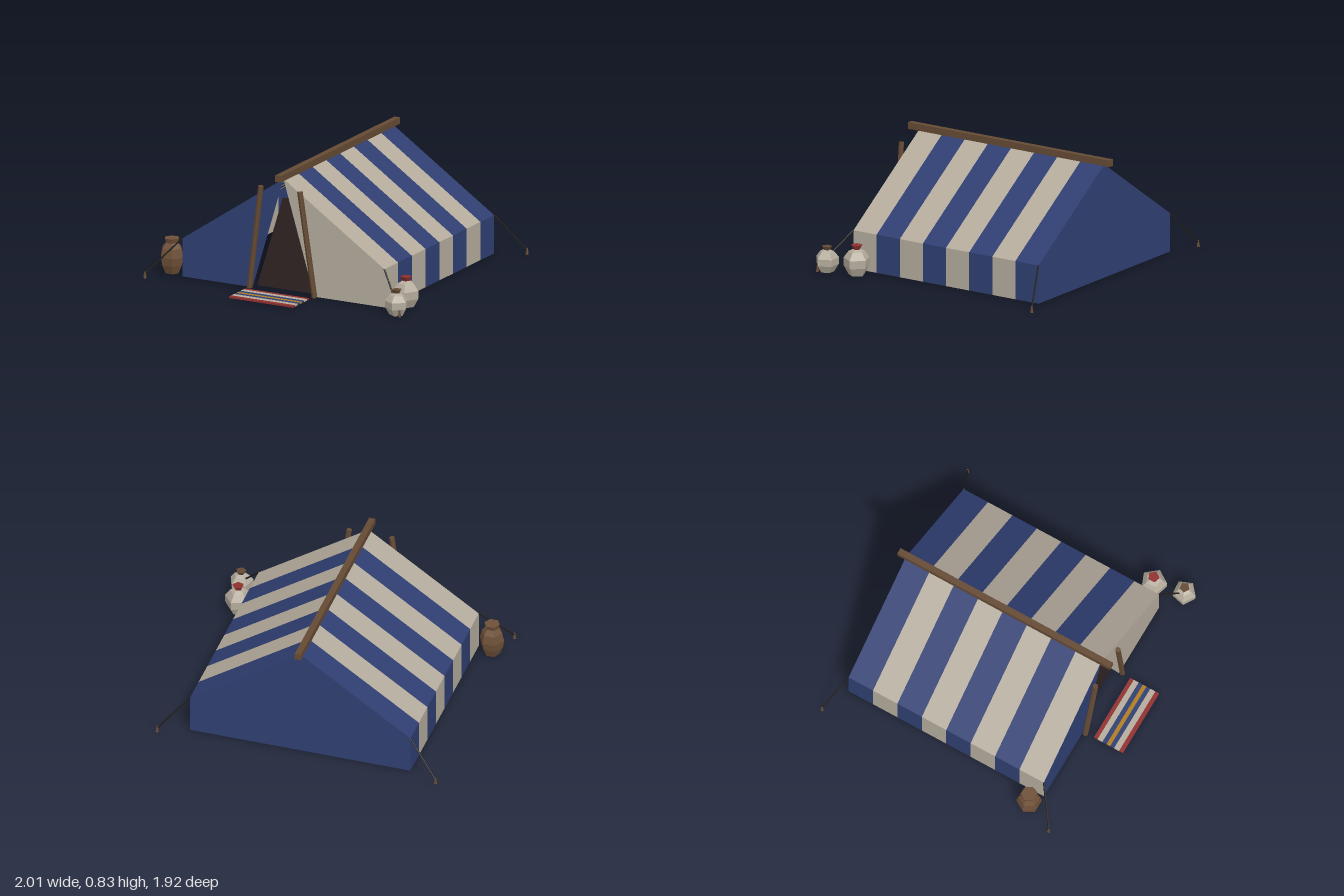
import * as THREE from 'three';

const flat = (name, color, side = THREE.FrontSide) => {
  const m = new THREE.MeshStandardMaterial({ color, side, flatShading: true });
  m.name = name;
  return m;
};

export function createModel() {
  const blue = flat('blue canvas', 0x2f3f72, THREE.DoubleSide);
  const cream = flat('cream canvas', 0xb5ac9d, THREE.DoubleSide);
  const dark = flat('dark doorway', 0x2f2423, THREE.DoubleSide);
  const wood = flat('wood', 0x654a34);
  const clay = flat('brown clay', 0x6e5038);
  const rope = flat('rope', 0x201d1b);
  const red = flat('red', 0x8f302f);
  const gold = flat('gold', 0xb07c20);

  const root = new THREE.Group();
  root.name = 'tentCamp';
  const tent = new THREE.Group();
  tent.name = 'tent';
  tent.position.x = -0.011;
  root.add(tent);

  const add = (parent, name, geometry, material, x = 0, y = 0, z = 0) => {
    const mesh = new THREE.Mesh(geometry, material);
    mesh.name = name;
    mesh.position.set(x, y, z);
    parent.add(mesh);
    return mesh;
  };

  // Flat convex sheet from corner points
  const sheet = (name, corners, material) => {
    const tris = [];
    for (let i = 1; i < corners.length - 1; i++) tris.push(...corners[0], ...corners[i], ...corners[i + 1]);
    const g = new THREE.BufferGeometry();
    g.setAttribute('position', new THREE.Float32BufferAttribute(tris, 3));
    g.computeVertexNormals();
    return add(tent, name, g, material);
  };

  // Round bar between two points
  const bar = (parent, name, from, to, radius, sides, material) => {
    const a = new THREE.Vector3(...from), b = new THREE.Vector3(...to);
    const dir = b.clone().sub(a);
    const mesh = add(parent, name, new THREE.CylinderGeometry(radius, radius, dir.length(), sides), material);
    mesh.position.copy(a).add(b).multiplyScalar(0.5);
    mesh.quaternion.setFromUnitVectors(new THREE.Vector3(0, 1, 0), dir.normalize());
    return mesh;
  };

  const W = 0.776, EAVE = 0.267, TOP = 0.79, BACK = -0.863, FRONT = 0.648;
  const DOOR = 0.237, STRIPES = 8, step = (FRONT - BACK) / STRIPES;

  // Striped roof slopes and side walls
  for (const s of [-1, 1]) {
    const side = s > 0 ? 'left' : 'right';
    for (let i = 0; i < STRIPES; i++) {
      const z0 = BACK + i * step, z1 = z0 + step;
      const m = i % 2 ? cream : blue;
      sheet(side + 'RoofStripe', [[0, TOP, z0], [0, TOP, z1], [s * W, EAVE, z1], [s * W, EAVE, z0]], m);
      sheet(side + 'WallStripe', [[s * W, EAVE, z0], [s * W, EAVE, z1], [s * W, 0, z1], [s * W, 0, z0]], m);
    }
    // Front panel beside the doorway
    sheet(side + 'FrontPanel',
      [[s * W, 0, FRONT], [s * DOOR, 0, FRONT], [0, TOP, FRONT], [s * W, EAVE, FRONT]], s > 0 ? cream : blue);
    // Leaning door pole
    bar(tent, side + 'DoorPole', [s * 0.25, 0, 0.668], [s * 0.15, 0.73, 0.69], 0.019, 6, wood);
    // Guy ropes with pegs
    for (const [z, pegZ, reach] of [[BACK, -0.95, 0.205], [FRONT, 0.802, 0.203]]) {
      const px = s * (W + reach);
      bar(tent, 'guyRope', [s * W, EAVE, z], [px, 0.03, pegZ], 0.006, 5, rope);
      add(tent, 'peg', new THREE.CylinderGeometry(0.005, 0.012, 0.045, 5), wood, px, 0.0225, pegZ);
    }
  }

  // Back wall
  sheet('backWall', [[-W, 0, BACK], [W, 0, BACK], [W, EAVE, BACK], [0, TOP, BACK], [-W, EAVE, BACK]], blue);
  // Recessed door flap
  const dz = FRONT - 0.06;
  sheet('doorFlap', [[-0.235, 0, dz], [0.235, 0, dz], [0.038, 0.64, dz], [-0.038, 0.64, dz]], dark);
  // Ridge beam
  add(tent, 'ridgeBeam', new THREE.BoxGeometry(0.043, 0.045, 1.645), wood, 0, 0.808, -0.096);

  // Striped rug
  const rug = new THREE.Group();
  rug.name = 'rug';
  root.add(rug);
  const edges = [0.732, 0.76, 0.798, 0.83, 0.858, 0.888, 0.927, 0.956];
  [red, cream, blue, gold, blue, cream, red].forEach((m, i) => {
    const d = edges[i + 1] - edges[i];
    add(rug, 'rugStripe', new THREE.BoxGeometry(0.489, 0.012, d), m, -0.0125, 0.006, edges[i] + d / 2);
  });

  // Faceted jars turned from [radius, height] profiles
  const lathe = (profile, sides, turn) =>
    new THREE.LatheGeometry(profile.map(([r, y]) => new THREE.Vector2(r, y)), sides, turn);
  add(root, 'brownJar', lathe([[0, 0], [0.05, 0], [0.076, 0.06], [0.086, 0.115], [0.072, 0.175],
    [0.044, 0.212], [0.054, 0.243], [0, 0.243]], 6, Math.PI / 6), clay, -0.897, 0, 0.597);

  const jar = (name, x, z, radius, height, turn, rim) => {
    const g = new THREE.Group();
    g.name = name;
    g.position.set(x, 0, z);
    root.add(g);
    const scaled = (p) => p.map(([r, y]) => [r * radius, y * height]);
    add(g, 'body', lathe(scaled([[0, 0], [0.62, 0], [0.98, 0.28], [1, 0.55], [0.62, 0.78], [0.28, 0.86]]), 5, turn), cream);
    add(g, 'rim', lathe(scaled([[0.28, 0.86], [0.44, 1], [0, 1]]), 5, turn), rim);
  };
  jar('largeJar', 0.875, 0.545, 0.092, 0.208, 0.37, red);
  jar('smallJar', 0.922, 0.757, 0.082, 0.176, 0.08, wood);

  return root;
}
